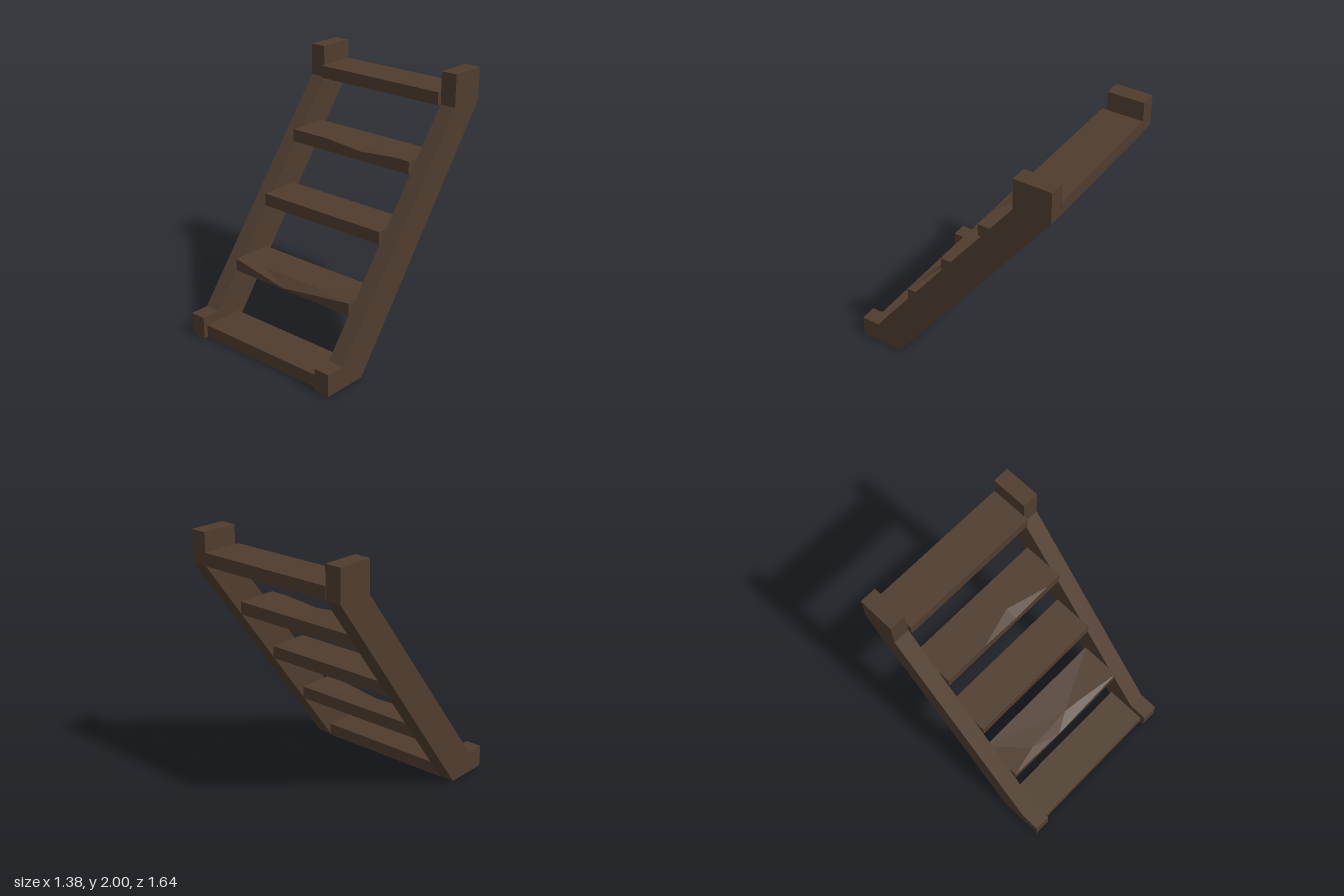
import * as THREE from 'three';

const HALF = 0.563, DEPTH = 0.322, THICK = 0.097;

// Slanted side rail with an upright block at the foot and at the head
function railGeometry(width) {
  const profile = [[-0.82, 0], [-0.82, 0.17], [-0.67, 0.17], [0.535, 1.755],
    [0.535, 2], [0.82, 2], [0.82, 1.755], [-0.472, 0]];
  const shape = new THREE.Shape(profile.map(([x, y]) => new THREE.Vector2(x, y)));
  const geo = new THREE.ExtrudeGeometry(shape, { depth: width, bevelEnabled: false });
  // profile runs along -z, thickness along x
  return geo.rotateY(Math.PI / 2).translate(-width / 2, 0, 0);
}

// Step with a chipped front edge: front and inner points lie relative to the
// top front edge; top triangles index [front..., inner..., backLeft, backRight]
function wornStepGeometry(front, inner, topTriangles) {
  const top = [...front, ...inner, [-HALF, 0, -DEPTH], [HALF, 0, -DEPTH]];
  const pos = [];
  const tri = (...pts) => pts.forEach((p) => pos.push(...p));
  const quad = (a, b, c, d) => { tri(a, b, c); tri(a, c, d); };
  const low = (p) => [p[0], -THICK, p[2]];
  topTriangles.forEach((t) => tri(...t.map((i) => top[i])));
  for (let i = 0; i < front.length - 1; i++) {
    quad(low(front[i]), low(front[i + 1]), front[i + 1], front[i]);
  }
  const fl = front[0], fr = front[front.length - 1];
  const [bl, br] = top.slice(-2);
  quad(low(fr), low(br), br, fr);
  quad(low(br), low(bl), bl, br);
  quad(low(bl), low(fl), fl, bl);
  quad(low(bl), low(br), low(fr), low(fl));
  const geo = new THREE.BufferGeometry();
  geo.setAttribute('position', new THREE.Float32BufferAttribute(pos, 3));
  geo.computeVertexNormals();
  return geo;
}

export function createModel() {
  const model = new THREE.Group();
  model.name = 'woodenStairs';
  const wood = new THREE.MeshStandardMaterial({ color: 0x4f3d2e });
  wood.name = 'darkWood';
  const add = (name, geo, x, y, z) => {
    const mesh = new THREE.Mesh(geo, wood);
    mesh.name = name;
    mesh.position.set(x, y, z);
    model.add(mesh);
  };

  // Side rails
  const rail = railGeometry(0.128);
  add('leftRail', rail, 0.626, 0, 0);
  add('rightRail', rail, -0.628, 0, 0);

  // Steps: plain boards, except the badly worn second and the nicked fourth
  const plain = new THREE.BoxGeometry(HALF * 2, THICK, DEPTH)
    .translate(0, -THICK / 2, -DEPTH / 2);
  const worn = wornStepGeometry(
    [[-HALF, 0, 0], [-0.08, -0.088, 0], [HALF, 0, 0]],
    [[-0.32, -0.02, -0.06], [0.07, -0.025, -0.08], [0.2, -0.02, -0.065]],
    [[0, 1, 3], [1, 4, 3], [1, 5, 4], [1, 2, 5], [0, 3, 6], [3, 4, 6],
      [4, 7, 6], [4, 5, 7], [5, 2, 7]]);
  const nicked = wornStepGeometry(
    [[-HALF, 0, 0], [-0.2, 0, 0], [0.11, -0.027, 0], [0.43, 0, 0], [HALF, 0, 0]],
    [[0.11, 0, -0.09]],
    [[1, 2, 5], [2, 3, 5], [0, 1, 6], [1, 5, 6], [5, 7, 6], [5, 3, 7], [3, 4, 7]]);
  [plain, worn, plain, nicked, plain].forEach((geo, i) => {
    add(`step${i + 1}`, geo, 0, THICK + i * 0.439, 0.786 - i * 0.3215);
  });
  return model;
}
